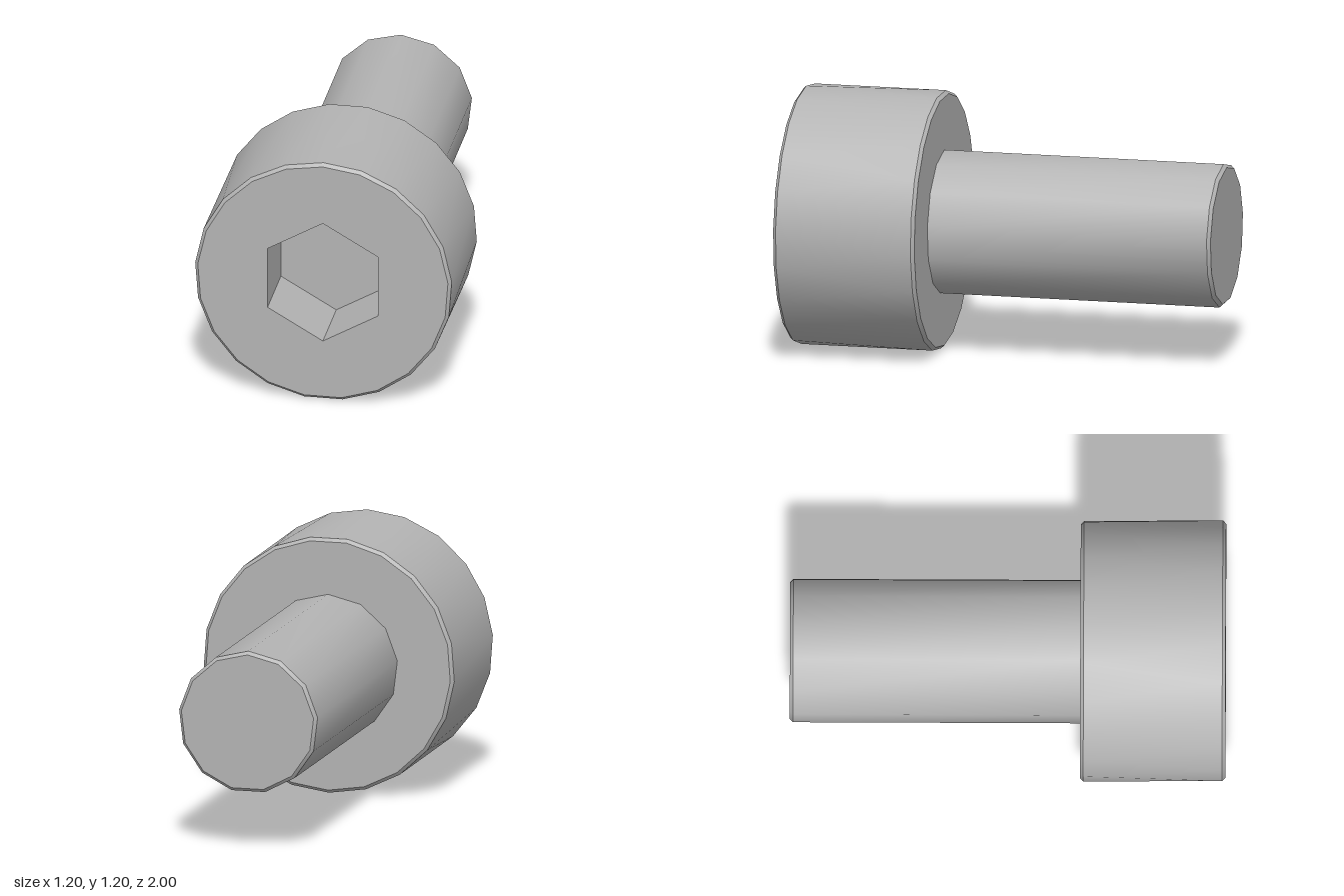
import * as THREE from 'three';

// Regular ring of n points, starting at the top and turning towards +x
function ring(n, r, z, phase = 0) {
  return Array.from({ length: n }, (_, i) => {
    const t = ((i + phase) / n) * Math.PI * 2;
    return new THREE.Vector3(r * Math.sin(t), r * Math.cos(t), z);
  });
}

// Strip between a nearer ring and a farther ring; swapping them turns it inward
function band(a, b, flat = false) {
  const n = a.length, index = [];
  for (let i = 0; i < n; i++) {
    const j = (i + 1) % n;
    index.push(i, j, n + i, j, n + j, n + i);
  }
  let g = new THREE.BufferGeometry().setFromPoints([...a, ...b]);
  g.setIndex(index);
  if (flat) g = g.toNonIndexed();
  g.computeVertexNormals();
  return g;
}

// Flat face on an outline, with an optional hole, facing front or back
function face(outline, hole, back = false) {
  const flat = pts => pts.map(p => new THREE.Vector2(p.x, p.y));
  const shape = new THREE.Shape(flat(outline));
  if (hole) shape.holes.push(new THREE.Path(flat(hole)));
  const g = new THREE.ShapeGeometry(shape);
  if (back) g.rotateY(Math.PI);
  return g.translate(0, 0, outline[0].z);
}

export function createModel() {
  const steel = new THREE.MeshStandardMaterial({ color: 0xb4b4b4 });
  steel.name = 'steel grey';
  const model = new THREE.Group();
  model.name = 'socketHeadBolt';

  const part = (name, pieces) => {
    const group = new THREE.Group();
    group.name = name;
    for (const [label, geometry] of Object.entries(pieces)) {
      const mesh = new THREE.Mesh(geometry, steel);
      mesh.name = label;
      group.add(mesh);
    }
    group.position.y = 0.603;
    model.add(group);
  };

  // Head rings: the rear ones are turned by half a step
  const c = 0.015;
  const headFront = ring(21, 0.6 - c, 1);
  const headA = ring(21, 0.6, 1 - c);
  const headB = ring(21, 0.6, 0.333 + c, 0.5);
  const headBack = ring(21, 0.6 - c, 0.333, 0.5);

  // Hexagonal socket and shaft rings
  const rim = ring(6, 0.298, 1);
  const floor = ring(6, 0.298, 0.66);
  const root = ring(13, 0.333, 0.333);
  const shaftEnd = ring(13, 0.333, -1 + c);
  const tip = ring(13, 0.333 - c, -1);

  part('head', {
    headFace: face(headFront, rim),
    headFrontChamfer: band(headFront, headA),
    headSide: band(headA, headB),
    headRearChamfer: band(headB, headBack),
    headUnderside: face(headBack, root, true),
  });
  part('socket', {
    socketWalls: band(floor, rim, true),
    socketFloor: face(floor),
  });
  part('shaft', {
    shaftSide: band(root, shaftEnd),
    shaftChamfer: band(shaftEnd, tip),
    shaftTip: face(tip, null, true),
  });
  return model;
}
